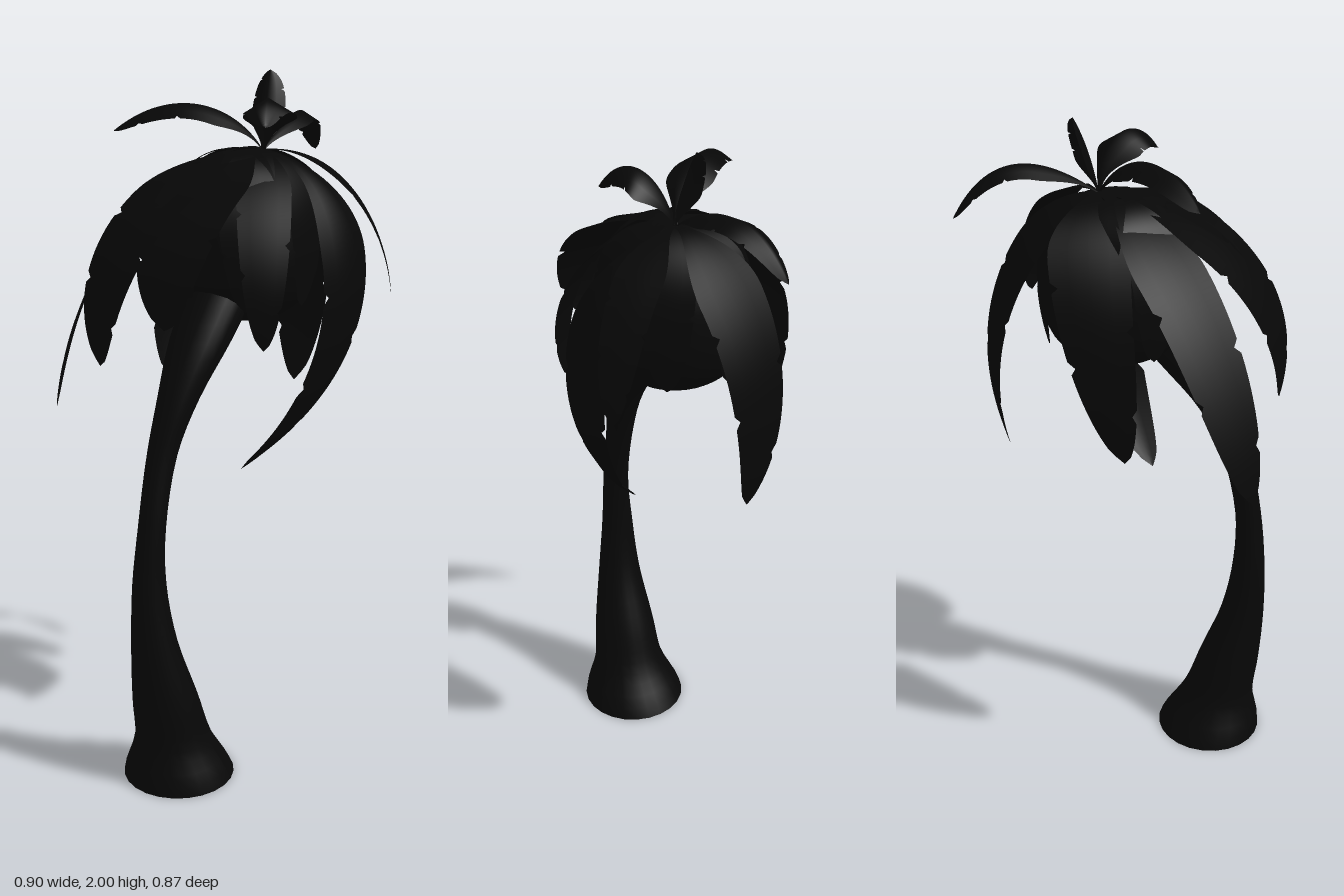
import * as THREE from 'three';

const dark = new THREE.MeshStandardMaterial({ color: 0x070707, side: THREE.DoubleSide });
const vec = (x, y, z) => new THREE.Vector3(x, y, z);

// Surface from equal-length rows of points
function skin(rows) {
  const n = rows[0].length, index = [];
  for (let i = 0; i < rows.length - 1; i++) {
    for (let j = 0; j < n - 1; j++) {
      const a = i * n + j, c = a + n;
      index.push(a, c, a + 1, a + 1, c, c + 1);
    }
  }
  const g = new THREE.BufferGeometry().setFromPoints(rows.flat());
  g.setIndex(index);
  g.computeVertexNormals();
  return g;
}

// Leaning trunk: round level sections [y, centre x, centre z, radius], smoothed
function trunkGeometry() {
  const rings = [
    [0, -0.055, 0.275, 0.162], [0.13, -0.062, 0.302, 0.112],
    [0.27, -0.075, 0.33, 0.094], [0.45, -0.092, 0.362, 0.066],
    [0.63, -0.1, 0.372, 0.048], [0.8, -0.092, 0.365, 0.039],
    [1.0, -0.075, 0.325, 0.042], [1.15, -0.045, 0.275, 0.058],
    [1.3, -0.01, 0.19, 0.086], [1.5, 0.04, 0.05, 0.1],
  ];
  const centres = new THREE.CatmullRomCurve3(rings.map(([y, x, z]) => vec(x, y, z)));
  const radii = new THREE.SplineCurve(rings.map(([y, , , r]) => new THREE.Vector2(r, y)));
  return skin(Array.from({ length: 37 }, (_, i) => {
    const c = centres.getPoint(i / 36), r = radii.getPoint(i / 36).x;
    return Array.from({ length: 25 }, (_, j) => {
      const a = -j / 24 * Math.PI * 2;
      return vec(c.x + r * Math.cos(a), c.y, c.z + r * Math.sin(a));
    });
  }));
}

// Leaf blade swept along a Bezier curve, with a folded midrib and a few slits
function frondGeometry(base, c1, c2, tip, width, fold) {
  const curve = new THREE.CubicBezierCurve3(base, c1, c2, tip);
  const out = curve.getPoint(0.5).sub(base);
  const side = vec(out.z, 0, -out.x).normalize();
  const steps = 56, rows = [];
  for (let i = 0; i <= steps; i++) {
    const t = i / steps;
    const normal = curve.getTangent(t).cross(side).normalize();
    const spread = 0.09 + 0.91 * THREE.MathUtils.smoothstep(t, 0, 0.42);
    const half = width / 2 * spread * Math.pow(1 - t ** 4, 0.6);
    rows.push([-1, -0.5, 0, 0.5, 1].map((u) => {
      const torn = Math.abs(u) === 1 && i > 24 && (i + 3 * u) % 13 === 0;
      const s = u * half * (torn ? 0.82 : 1);
      return curve.getPoint(t).addScaledVector(side, s)
        .addScaledVector(normal, -Math.abs(s) * fold);
    }));
  }
  return skin(rows);
}

export function createModel() {
  const model = new THREE.Group();
  model.name = 'palmTree';
  const crown = new THREE.Group();
  crown.name = 'crown';
  model.add(crown);
  const add = (parent, name, geometry) => {
    const mesh = new THREE.Mesh(geometry, dark);
    mesh.name = name;
    parent.add(mesh);
    return mesh;
  };

  add(model, 'trunk', trunkGeometry());
  const foot = add(model, 'trunkBase', new THREE.CircleGeometry(0.162, 24));
  foot.rotation.x = Math.PI / 2;
  foot.position.set(-0.055, 0, 0.275);

  // Rounded heart of the crown
  const profile = new THREE.SplineCurve([
    [0, 1.35], [0.1, 1.335], [0.19, 1.41], [0.215, 1.54], [0.175, 1.7], [0, 1.78],
  ].map(([r, y]) => new THREE.Vector2(r, y)));
  const heartPoints = profile.getPoints(28).map((p) => new THREE.Vector2(Math.max(0, p.x), p.y));
  add(crown, 'crownHeart', new THREE.LatheGeometry(heartPoints, 32)).position.set(0.045, 0, 0);

  // Drooping fronds: name, tip, outward bulge, width
  const base = vec(0.09, 1.79, -0.04);
  const drooping = [
    ['backFrond', vec(0.11, 1.06, -0.31), 1.55, 0.23],
    ['frontRightFrond', vec(-0.23, 1.25, 0.375), 1.1, 0.28],
    ['frontFrond', vec(-0.03, 1.37, 0.41), 1.1, 0.26],
    ['frontLeftFrond', vec(0.195, 1.3, 0.27), 1.2, 0.15],
    ['backLeftFrond', vec(0.445, 1.385, -0.13), 0.95, 0.14],
  ];
  for (const [name, tip, bulge, width] of drooping) {
    const c1 = base.clone().lerp(tip, 0.5).setY(base.y + 0.02);
    const c2 = base.clone().lerp(tip, bulge).setY(tip.y + 0.6 * (base.y - tip.y));
    add(crown, name, frondGeometry(base, c1, c2, tip, width, 0.04));
  }

  // Curled and upright fronds: name, two control points, tip, width, fold
  const curled = [
    ['rightFrond', vec(-0.18, 1.8, 0.02), vec(-0.42, 1.5, 0.12), vec(-0.45, 1.06, 0.2), 0.23, 0.04],
    ['backRightFrond', vec(-0.1, 1.83, -0.16), vec(-0.26, 1.55, -0.2), vec(-0.22, 1.12, -0.08), 0.22, 0.04],
    ['leftFrond', vec(0.45, 1.75, 0.05), vec(0.48, 1.2, 0.05), vec(0.085, 0.91, 0.125), 0.22, 0.15],
    ['upperBackFrond', vec(0.13, 1.88, -0.16), vec(0.14, 1.95, -0.32), vec(0.13, 1.75, -0.435), 0.11, 0.5],
    ['upperRightFrond', vec(0.02, 1.92, 0), vec(-0.14, 1.97, 0.06), vec(-0.3, 1.84, 0.09), 0.13, 0.6],
    ['uprightFrond', vec(0.09, 1.86, -0.05), vec(0.09, 1.95, -0.08), vec(0.088, 2, -0.11), 0.1, 0.6],
    ['upperFrontFrond', vec(0.12, 1.93, -0.03), vec(0.14, 2, 0.08), vec(0.16, 1.87, 0.16), 0.15, 0.6],
  ];
  for (const [name, c1, c2, tip, width, fold] of curled) {
    add(crown, name, frondGeometry(base, c1, c2, tip, width, fold));
  }

  // Short inner fronds lying over the heart
  for (let i = 0; i < 7; i++) {
    const a = i / 7 * Math.PI * 2 + 0.3;
    const at = (r, y) => vec(0.045 + r * Math.cos(a), y, r * Math.sin(a));
    add(crown, 'innerFrond',
      frondGeometry(at(0.02, 1.795), at(0.2, 1.8), at(0.25, 1.6), at(0.2, 1.38), 0.16, 0.04));
  }
  return model;
}
